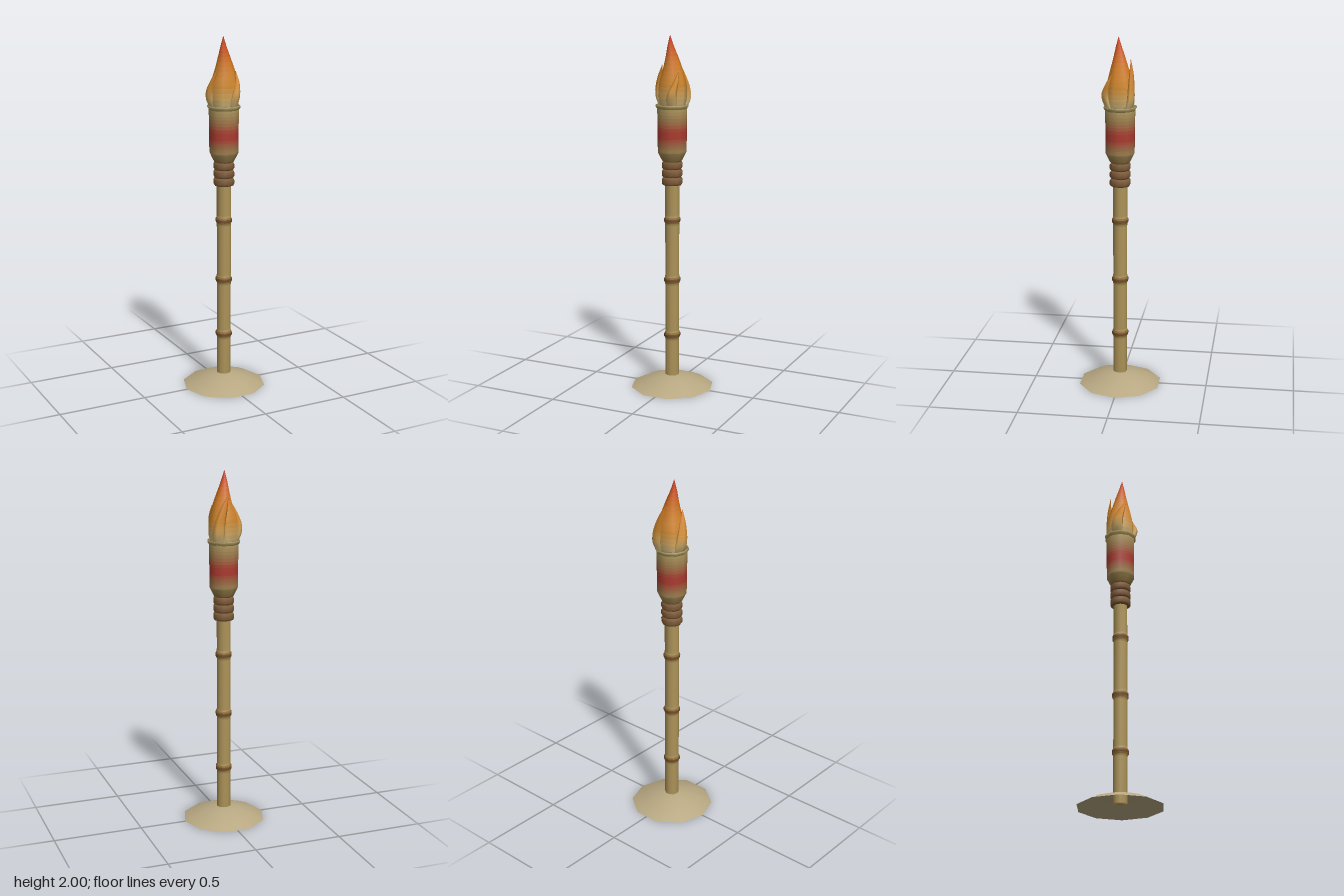
import * as THREE from 'three';

const SIDES = 10;

// Colour at height y, blended between [y, colour] stops.
function colourAt(stops, y) {
  if (y <= stops[0][0]) return new THREE.Color(stops[0][1]);
  for (let i = 1; i < stops.length; i++) {
    const [y0, c0] = stops[i - 1], [y1, c1] = stops[i];
    if (y <= y1) return new THREE.Color(c0).lerp(new THREE.Color(c1), (y - y0) / (y1 - y0));
  }
  return new THREE.Color(stops[stops.length - 1][1]);
}

// Skin of round cross-sections; ring = {x, y, z, rx, rz, turn}, one colour band per interval.
function loft(name, rings, stops, sides = SIDES) {
  const pos = [], index = [], row = sides + 1;
  for (const { x = 0, y, z = 0, rx, rz = rx, turn = 0 } of rings) {
    for (let i = 0; i <= sides; i++) {
      const a = ((i % sides) / sides) * Math.PI * 2;
      const u = Math.cos(a) * rx, v = Math.sin(a) * rz;
      pos.push(x + u * Math.cos(turn) - v * Math.sin(turn), y, z + u * Math.sin(turn) + v * Math.cos(turn));
    }
  }
  const geo = new THREE.BufferGeometry();
  const materials = [];
  for (let j = 0; j < rings.length - 1; j++) {
    geo.addGroup(index.length, sides * 6, j);
    for (let i = 0; i < sides; i++) {
      const a = j * row + i, b = a + row;
      index.push(a, b, a + 1, a + 1, b, b + 1);
    }
    materials.push(new THREE.MeshStandardMaterial({
      color: colourAt(stops, (rings[j].y + rings[j + 1].y) / 2), side: THREE.DoubleSide,
    }));
  }
  geo.setAttribute('position', new THREE.Float32BufferAttribute(pos, 3));
  geo.setIndex(index);
  geo.computeVertexNormals();
  // Match normals along the seam so the skin stays smooth.
  const n = geo.attributes.normal, p = new THREE.Vector3(), q = new THREE.Vector3();
  for (let j = 0; j < rings.length; j++) {
    const a = j * row, b = a + sides;
    p.fromBufferAttribute(n, a).add(q.fromBufferAttribute(n, b)).normalize();
    n.setXYZ(a, p.x, p.y, p.z);
    n.setXYZ(b, p.x, p.y, p.z);
  }
  const mesh = new THREE.Mesh(geo, materials);
  mesh.name = name;
  return mesh;
}

const turned = (profile) => profile.map(([rx, y]) => ({ rx, y }));

// Splits every interval of a profile into short steps for soft colour changes.
function stepped(profile, steps) {
  const out = [profile[0]];
  for (let i = 1; i < profile.length; i++) {
    const [r0, y0] = profile[i - 1], [r1, y1] = profile[i];
    for (let k = 1; k <= steps; k++) out.push([r0 + (r1 - r0) * k / steps, y0 + (y1 - y0) * k / steps]);
  }
  return out;
}

const FIRE = [[1.6, 0xcdbf92], [1.66, 0xd0a860], [1.73, 0xd08a30], [1.84, 0xd07a22], [1.92, 0xcf5a20], [2, 0xcc2a1a]];

// Flame from key sections [x, y, z, rx, rz], smoothed along its height.
function flame(name, keys, turn, sides) {
  const centre = new THREE.CatmullRomCurve3(keys.map((k) => new THREE.Vector3(k[0], k[1], k[2])));
  const size = new THREE.CatmullRomCurve3(keys.map((k) => new THREE.Vector3(k[3], k[4], 0)));
  const rings = [];
  for (let i = 0; i <= 16; i++) {
    const c = centre.getPoint(i / 16), s = size.getPoint(i / 16);
    rings.push({ x: c.x, y: c.y, z: c.z, rx: Math.max(s.x, 0.0005), rz: Math.max(s.y, 0.0005), turn });
  }
  return loft(name, rings, FIRE, sides);
}

export function createModel() {
  const torch = new THREE.Group();
  torch.name = 'torch';

  // Shallow domed foot, open underneath
  torch.add(loft('base', turned([[0.237, 0], [0.17, 0.032], [0.1, 0.056], [0.04, 0.068], [0.0005, 0.07]]),
    [[0, 0xb8a882]]));

  // Cane pole with a closed lower end
  const CANE = 0xae9459;
  torch.add(loft('pole', turned([[0.0005, 0.02], [0.04, 0.02], [0.04, 0.6], [0.04, 1.2]]), [[0, CANE]]));

  // Raised dark joints along the cane
  for (const y of [0.305, 0.63, 0.975]) {
    const profile = [[0.04, y - 0.03], [0.041, y - 0.017], [0.047, y - 0.008], [0.047, y + 0.008], [0.041, y + 0.017], [0.04, y + 0.03]];
    torch.add(loft('caneJoint', turned(profile),
      [[y - 0.025, CANE], [y - 0.008, 0x85602f], [y, 0x755028], [y + 0.008, 0x85602f], [y + 0.025, CANE]]));
  }

  // Three coils of binding below the cup
  for (let i = 0; i < 3; i++) {
    const y = 1.173 + i * 0.045;
    torch.add(loft('binding', turned([[0.038, y], [0.053, y + 0.002], [0.059, y + 0.012], [0.059, y + 0.033], [0.053, y + 0.043], [0.038, y + 0.045]]),
      [[0, 0x7d5a38]]));
  }

  // Cup with a red painted band
  torch.add(loft('cup', turned(stepped([[0.045, 1.3], [0.057, 1.312], [0.081, 1.36], [0.082, 1.46], [0.084, 1.605]], 8)),
    [[1.3, 0x8a6c3c], [1.35, 0xa58c55], [1.39, 0x9a7048], [1.44, 0xac3c30], [1.48, 0xac3c30], [1.54, 0xa07a4c], [1.6, 0xb09a60]]));
  torch.add(loft('cupRim', turned([[0.084, 1.6], [0.092, 1.612], [0.092, 1.622], [0.083, 1.622], [0.079, 1.59], [0.0005, 1.585]]),
    [[1.6, 0xac965c]]));

  // Central flame
  torch.add(flame('mainFlame', [
    [0, 1.59, 0, 0.066, 0.066], [0, 1.66, 0, 0.083, 0.08], [0.002, 1.73, 0, 0.08, 0.077],
    [0.004, 1.81, 0.002, 0.058, 0.056], [0, 1.88, 0.004, 0.036, 0.036],
    [-0.006, 1.94, 0.008, 0.018, 0.018], [-0.008, 2, 0.01, 0, 0],
  ], 0.3, 7));

  // Smaller tongues curling round the main flame
  torch.add(flame('leftTongue', [
    [-0.05, 1.6, -0.01, 0.02, 0.032], [-0.073, 1.65, -0.016, 0.022, 0.036], [-0.08, 1.7, -0.012, 0.021, 0.032],
    [-0.068, 1.77, 0.008, 0.012, 0.02], [-0.045, 1.84, 0.033, 0, 0],
  ], 0.3, 6));
  torch.add(flame('backTongue', [
    [0.04, 1.6, -0.045, 0.032, 0.018], [0.05, 1.66, -0.063, 0.036, 0.02], [0.045, 1.72, -0.066, 0.032, 0.018],
    [0.022, 1.8, -0.064, 0.02, 0.012], [-0.008, 1.88, -0.057, 0, 0],
  ], 0.1, 6));
  torch.add(flame('frontTongue', [
    [0.025, 1.6, 0.05, 0.026, 0.02], [0.03, 1.65, 0.07, 0.03, 0.021], [0.036, 1.69, 0.077, 0.026, 0.02],
    [0.05, 1.75, 0.06, 0.015, 0.013], [0.056, 1.81, 0.034, 0, 0],
  ], -0.5, 6));

  return torch;
}
